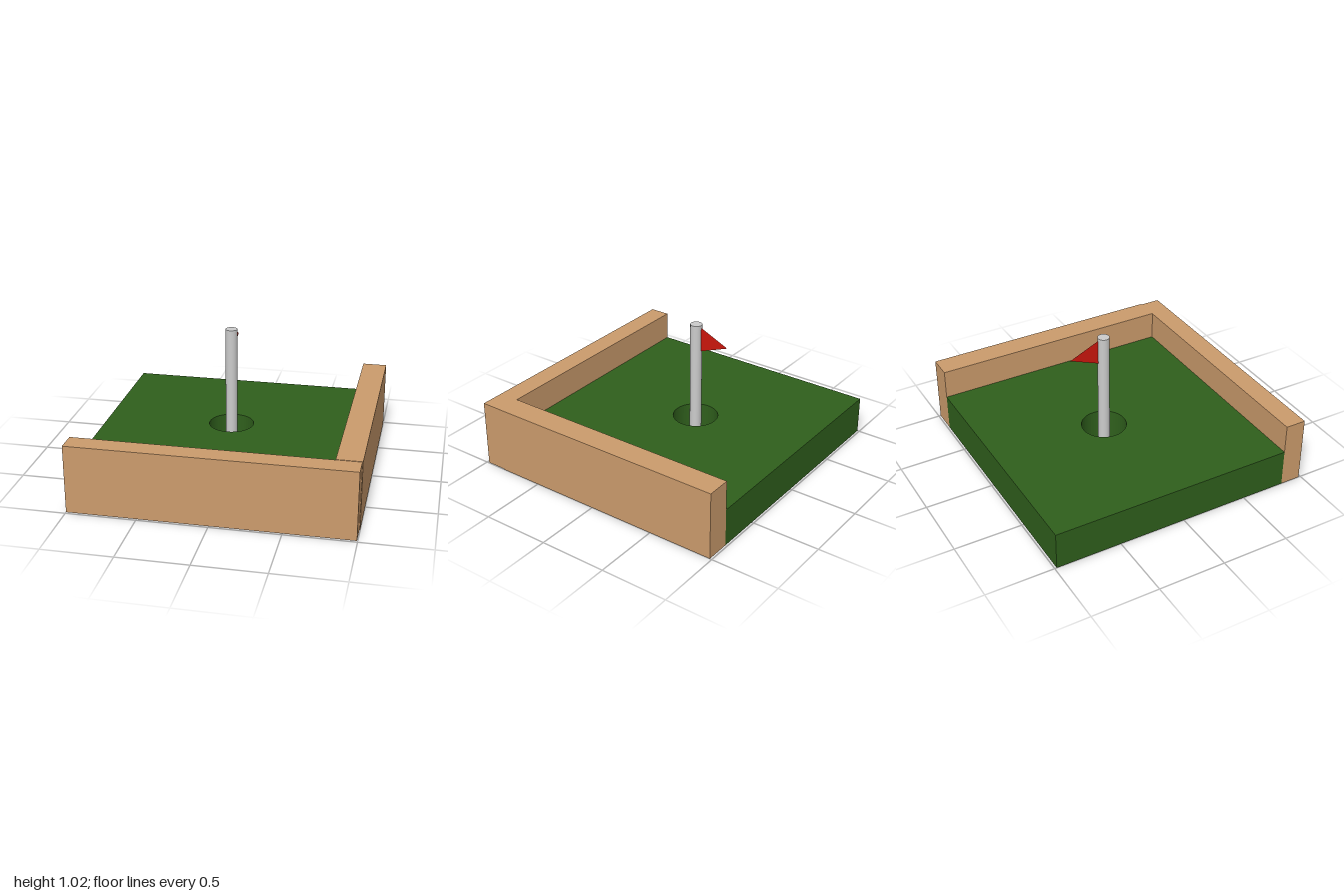
import * as THREE from 'three';

const WOOD = 0xcb9b6c, GREEN = 0x2f5f1c, RED = 0xcc170d, GREY = 0xcccccc;
const HOLE = { x: -0.07, z: -0.115, r: 0.165, floor: 0.05 };
const TURF_TOP = 0.28, POLE_TOP = 1.02, POLE_R = 0.043;
const LEFT = -1, BACK = -0.985, INNER_X = 0.82, INNER_Z = 0.83;

export function createModel() {
  const group = new THREE.Group();

  function add(name, geometry, color, options = {}) {
    const mesh = new THREE.Mesh(geometry, new THREE.MeshStandardMaterial({ color, ...options }));
    mesh.name = name;
    group.add(mesh);
    return mesh;
  }

  // Box given by its lowest and highest corners
  function box(name, [x0, y0, z0], [x1, y1, z1], color) {
    const g = new THREE.BoxGeometry(x1 - x0, y1 - y0, z1 - z0);
    g.translate((x0 + x1) / 2, (y0 + y1) / 2, (z0 + z1) / 2);
    return add(name, g, color);
  }

  // Wooden walls along the front and the left side
  box('frontWall', [LEFT, 0, INNER_Z], [0.995, 0.497, 0.983], WOOD);
  box('sideWall', [INNER_X, 0, BACK], [1, 0.5, INNER_Z], WOOD);

  // Turf block: solid base below the cup, pierced slab above it
  box('turfBase', [LEFT, 0, BACK], [INNER_X, HOLE.floor, INNER_Z], GREEN);
  const outline = new THREE.Shape([
    new THREE.Vector2(LEFT, -INNER_Z),
    new THREE.Vector2(INNER_X, -INNER_Z),
    new THREE.Vector2(INNER_X, -BACK),
    new THREE.Vector2(LEFT, -BACK),
  ]);
  outline.holes.push(new THREE.Path().absarc(HOLE.x, -HOLE.z, HOLE.r, 0, Math.PI * 2, true));
  const slab = new THREE.ExtrudeGeometry(outline, {
    depth: TURF_TOP - HOLE.floor, bevelEnabled: false, curveSegments: 24,
  });
  slab.rotateX(-Math.PI / 2).translate(0, HOLE.floor, 0);
  add('turf', slab, GREEN);

  // Flagpole standing in the cup
  const poleHeight = POLE_TOP - HOLE.floor;
  add('flagpole', new THREE.CylinderGeometry(POLE_R, POLE_R, poleHeight, 32), GREY)
    .position.set(HOLE.x, HOLE.floor + poleHeight / 2, HOLE.z);

  // Thin triangular flag pointing to the back
  const pennant = new THREE.Shape([
    new THREE.Vector2(0, POLE_TOP),
    new THREE.Vector2(0, 0.8),
    new THREE.Vector2(0.265, 0.903),
  ]);
  const flag = new THREE.ShapeGeometry(pennant).rotateY(Math.PI / 2);
  add('flag', flag, RED, { side: THREE.DoubleSide }).position.set(HOLE.x, 0, HOLE.z);

  return group;
}
